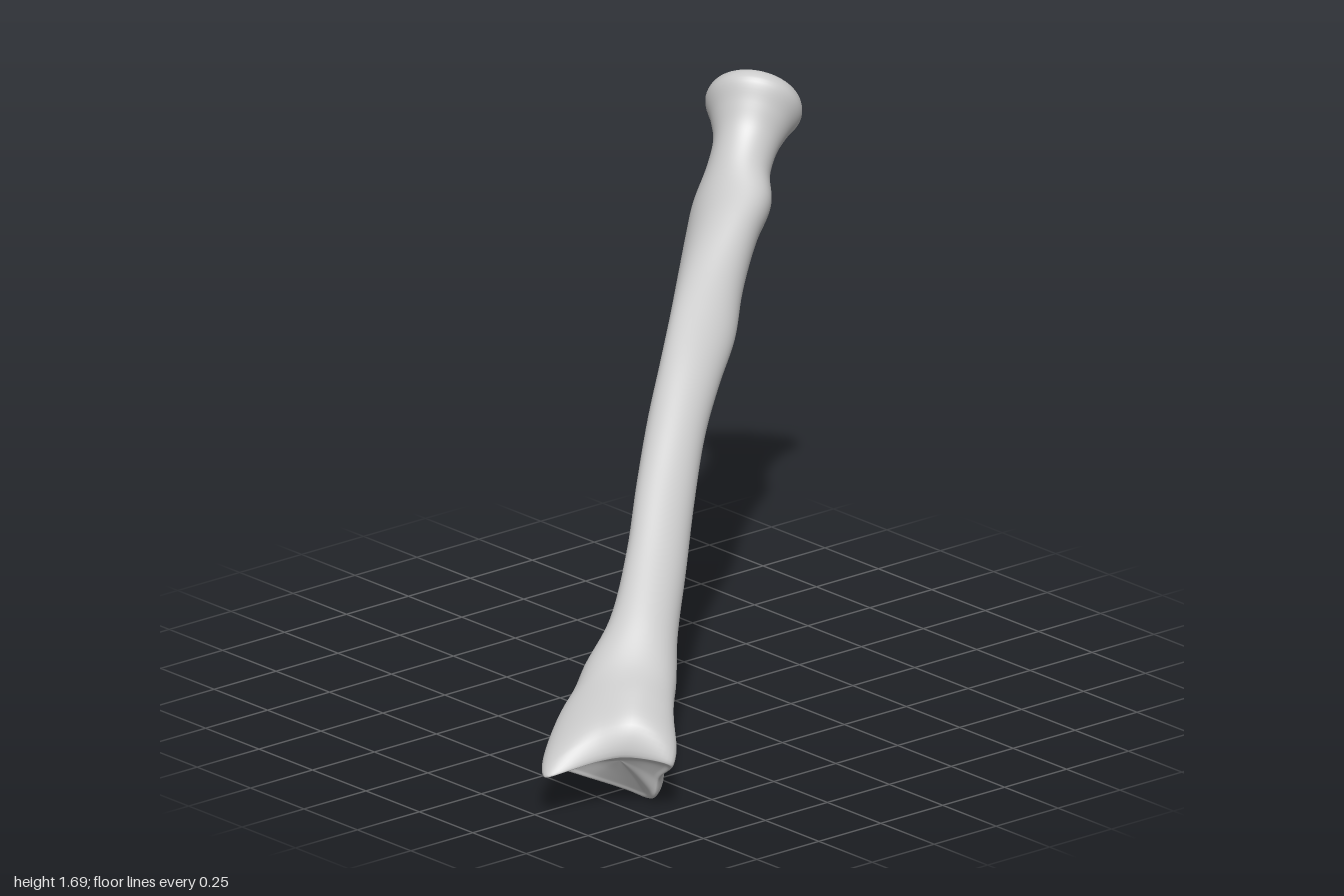
import * as THREE from 'three';

// Long axis of the bone (towards the round head) and two directions across it
const AXIS = new THREE.Vector3(-0.5, 0.56, -0.66).normalize();
const E1 = new THREE.Vector3(0.746, 0.666, 0).normalize();
const E2 = new THREE.Vector3().crossVectors(AXIS, E1);
const ORIGIN = new THREE.Vector3(0, 0.905, 0);
const SIDES = 80, STEPS = 6;

// Elliptical cross-section: station, centre (a, b), two radii, rotation in degrees
function ellipse([t, a, b, r1, r2, deg = 0]) {
  const rot = THREE.MathUtils.degToRad(deg), c = Math.cos(rot), s = Math.sin(rot);
  return Array.from({ length: SIDES }, (_, k) => {
    const w = (k / SIDES) * Math.PI * 2 - rot;
    const u = r1 * Math.cos(w), v = r2 * Math.sin(w);
    return new THREE.Vector3(a + u * c - v * s, b + u * s + v * c, t);
  });
}

// Free cross-section: closed smooth curve through a few (a, b, station) points
function freeform(points) {
  const curve = new THREE.CatmullRomCurve3(points.map((p) => new THREE.Vector3(...p)), true, 'centripetal');
  return Array.from({ length: SIDES }, (_, k) => curve.getPoint(k / SIDES));
}

// Hollow joint surface: the lip drawn in towards a recessed centre
function inset(ring, centre, f) {
  return ring.map((p) => new THREE.Vector3(
    THREE.MathUtils.lerp(centre.x, p.x, f),
    THREE.MathUtils.lerp(centre.y, p.y, f),
    THREE.MathUtils.lerp(centre.z, p.z, f * f)));
}

// Smooth skin through the sections, from the wide end to the head
function loft(sections) {
  const rows = (sections.length - 1) * STEPS;
  const pos = new Float32Array((rows + 1) * SIDES * 3);
  const index = [];
  const p = new THREE.Vector3(), q = new THREE.Vector3();
  for (let k = 0; k < SIDES; k++) {
    const line = new THREE.CatmullRomCurve3(sections.map((s) => s[k]), false, 'centripetal');
    for (let i = 0; i <= rows; i++) {
      line.getPoint(i / rows, p);
      q.copy(ORIGIN).addScaledVector(E1, p.x).addScaledVector(E2, p.y).addScaledVector(AXIS, p.z);
      q.toArray(pos, (i * SIDES + k) * 3);
      if (i < rows) {
        const n = (k + 1) % SIDES, A = i * SIDES + k, B = i * SIDES + n;
        index.push(A, B, B + SIDES, A, B + SIDES, A + SIDES);
      }
    }
  }
  const g = new THREE.BufferGeometry();
  g.setAttribute('position', new THREE.BufferAttribute(pos, 3));
  g.setIndex(index);
  g.computeVertexNormals();
  return g;
}

export function createModel() {
  // Wide end: lip of the joint surface with its pointed process
  const lip = freeform([
    [0.045, 0.06, -1.255], [0.092, 0.185, -1.25], [-0.005, 0.195, -1.24], [-0.075, 0.222, -1.255],
    [-0.135, 0.224, -1.228], [-0.16, 0.165, -1.215], [-0.16, 0.04, -1.235], [-0.162, -0.085, -1.26],
    [-0.1, -0.132, -1.352], [-0.01, -0.015, -1.28],
  ]);
  // Widest outline just above the lip
  const brim = freeform([
    [0.108, 0.035, -1.18], [0.108, 0.183, -1.205], [0, 0.205, -1.19], [-0.076, 0.238, -1.205],
    [-0.145, 0.238, -1.18], [-0.172, 0.17, -1.165], [-0.176, 0.04, -1.17], [-0.178, -0.09, -1.2],
    [-0.108, -0.145, -1.305], [0.03, -0.05, -1.21],
  ]);
  // Flare that leads into the shaft
  const flare = freeform([
    [0.1, 0.03, -1.06], [0.092, 0.155, -1.07], [0.01, 0.182, -1.07], [-0.06, 0.195, -1.07],
    [-0.122, 0.192, -1.07], [-0.155, 0.13, -1.06], [-0.166, 0.03, -1.06], [-0.172, -0.08, -1.06],
    [-0.11, -0.122, -1.08], [0.03, -0.055, -1.07],
  ]);
  const hollow = new THREE.Vector3(-0.04, 0.07, -1.215);

  // Shaft, tuberosity, neck, and the dished round head
  const shaft = [
    [-0.93, -0.034, 0.04, 0.147, 0.099, 60],
    [-0.75, -0.008, 0.041, 0.109, 0.085, 80],
    [-0.5, 0, 0.032, 0.0715, 0.099],
    [-0.25, 0, 0.014, 0.07, 0.096],
    [0, 0, 0.003, 0.075, 0.094],
    [0.2, 0.001, 0.008, 0.072, 0.0995],
    [0.4, -0.018, 0.025, 0.074, 0.109],
    [0.6, -0.06, 0.037, 0.098, 0.103],
    [0.8, -0.092, 0.054, 0.129, 0.1, 8],
    [0.94, -0.099, 0.068, 0.136, 0.102, 18],
    [1.05, -0.081, 0.058, 0.106, 0.096],
    [1.135, -0.057, 0.052, 0.1, 0.1],
    [1.2, -0.042, 0.046, 0.122, 0.122],
    [1.262, -0.033, 0.042, 0.15, 0.15],
    [1.3, -0.031, 0.041, 0.136, 0.136],
    [1.31, -0.031, 0.041, 0.108, 0.108],
    [1.3, -0.031, 0.041, 0.055, 0.055],
    [1.296, -0.031, 0.041, 0, 0],
  ].map(ellipse);

  const geometry = loft([
    inset(lip, hollow, 0), inset(lip, hollow, 0.45), inset(lip, hollow, 0.85), lip, brim, flare, ...shaft,
  ]);
  const bone = new THREE.Mesh(geometry, new THREE.MeshStandardMaterial({ color: 0xcccccc }));
  bone.name = 'forearmBone';

  const model = new THREE.Group();
  model.name = 'radiusBone';
  model.add(bone);
  return model;
}
